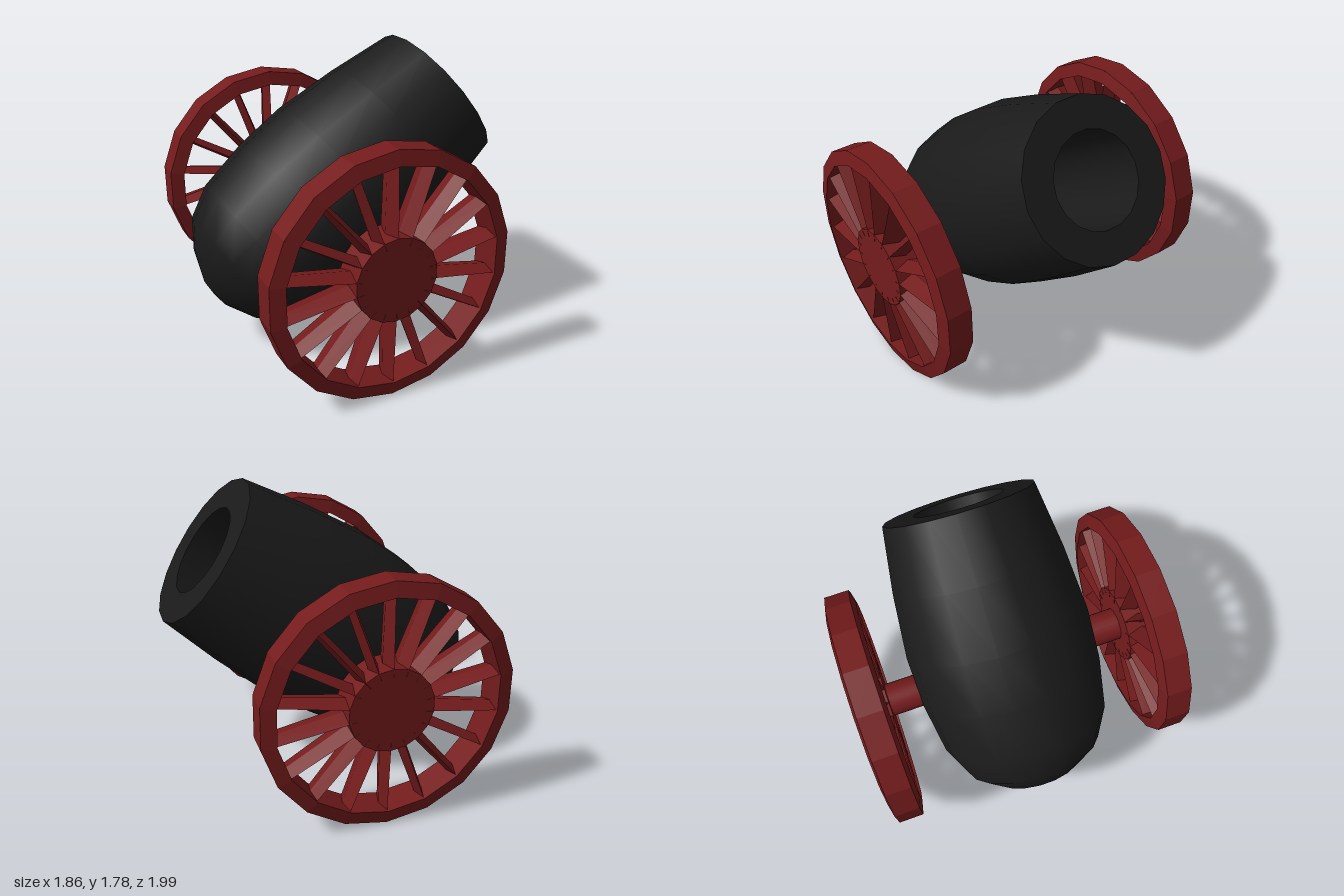
import * as THREE from 'three';

const SIDES = 18;
const iron = new THREE.MeshStandardMaterial({ color: 0x1a1a1a });
const red = new THREE.MeshStandardMaterial({ color: 0x741b1c });
const redFlat = new THREE.MeshStandardMaterial({ color: 0x741b1c, flatShading: true });

function part(name, geometry, material) {
  const mesh = new THREE.Mesh(geometry, material);
  mesh.name = name;
  return mesh;
}

function lathe(points, sides = SIDES) {
  return new THREE.LatheGeometry(points.map(([r, y]) => new THREE.Vector2(r, y)), sides);
}

// Spoked wheel lying in the XY plane, centred on its hub
function createWheel(name) {
  const wheel = new THREE.Group();
  wheel.name = name;

  // Rim: thicker at its inner edge than at the tread
  const rim = lathe([[0.64, -0.095], [0.725, -0.075], [0.725, 0.075], [0.64, 0.095], [0.64, -0.095]]);
  wheel.add(part('rim', rim.rotateX(Math.PI / 2), redFlat));

  const hub = new THREE.CylinderGeometry(0.245, 0.245, 0.19, SIDES);
  wheel.add(part('hub', hub.rotateX(Math.PI / 2), redFlat));

  // Spokes: deep, narrow diamond sections ending at the rim corners
  const spoke = new THREE.CylinderGeometry(0.077, 0.097, 0.52, 4);
  spoke.scale(0.3, 1, 1).translate(0, 0.46, 0);
  for (let i = 0; i < SIDES; i++) {
    const mesh = part('spoke', spoke, redFlat);
    mesh.rotation.z = (i / SIDES) * Math.PI * 2;
    wheel.add(mesh);
  }
  return wheel;
}

// Barrel: muzzle centre at the origin, pointing along +Y
function createBarrel() {
  const barrel = new THREE.Group();
  barrel.name = 'barrel';
  const shell = [
    [0, -1.84], [0.1, -1.83], [0.28, -1.75], [0.43, -1.63], [0.52, -1.44],
    [0.565, -1.12], [0.572, -0.8], [0.53, -0.4], [0.465, 0],
  ];
  barrel.add(part('barrelShell', lathe(shell), iron));
  barrel.add(part('muzzleRing', lathe([[0.465, 0], [0.275, 0]]), iron));
  barrel.add(part('bore', lathe([[0.275, 0], [0.275, -1]]), iron));
  barrel.add(part('boreEnd', lathe([[0.275, -1], [0, -1]]), iron));
  return barrel;
}

export function createModel() {
  const cannon = new THREE.Group();
  cannon.name = 'cannon';

  // The whole cannon is turned slightly to one side
  const body = new THREE.Group();
  body.name = 'cannonBody';
  body.position.x = -0.13;
  body.rotation.y = 0.0888;
  cannon.add(body);

  const barrel = createBarrel();
  barrel.position.set(0.798, 1.4, 0);
  barrel.rotation.z = THREE.MathUtils.degToRad(35 - 90);
  body.add(barrel);

  // Axle and wheels
  const axle = part('axle', new THREE.CylinderGeometry(0.102, 0.102, 1.6, 24).rotateX(Math.PI / 2), red);
  axle.position.y = 0.727;
  body.add(axle);
  for (const [name, side] of [['frontWheel', 1], ['backWheel', -1]]) {
    const wheel = createWheel(name);
    wheel.position.set(0, 0.725, side * 0.848);
    body.add(wheel);
  }
  return cannon;
}
